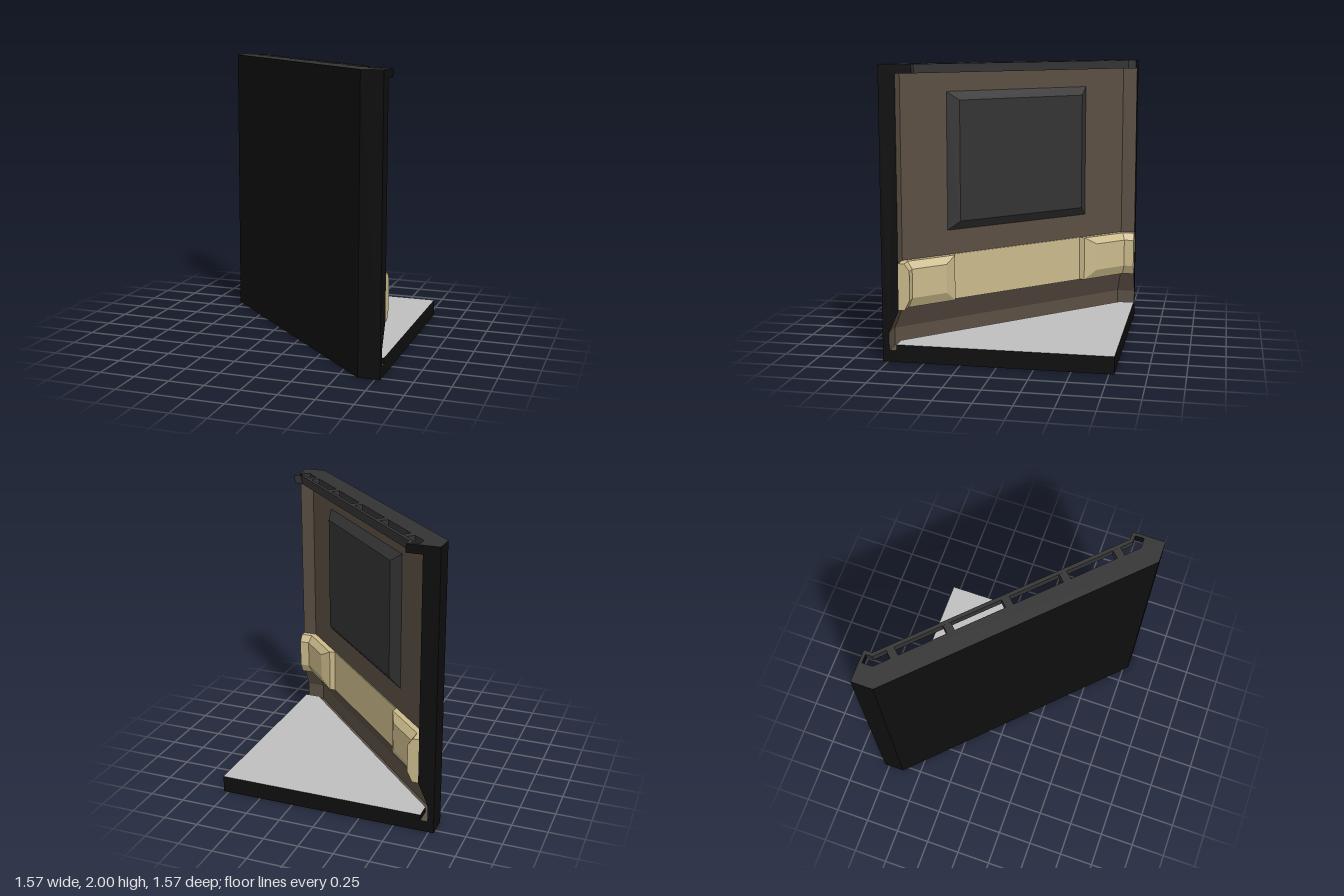
import * as THREE from 'three';

const H = 0.785;   // half of the square tile
const V0 = 0.107;  // offset of the outer diagonal face
const R2 = Math.SQRT2;

const mat = (name, color) => {
  const m = new THREE.MeshStandardMaterial({ color });
  m.name = name;
  return m;
};

// Stations along the wall path: each maps depth d (from the outer face) to [x, z]
const startEnd = (d) => [-H + d, -H];
const startBend = (d) => [-H + d, -0.634 - 0.414 * d];
const diag = (u) => (d) => [(u + d - V0) / R2, (u - d + V0) / R2];
const mirror = (f) => (d) => { const [x, z] = f(d); return [-z, -x]; };
const PATH = [startEnd, startBend, mirror(startBend), mirror(startEnd)];

const ring = (station, profile) => profile.map(([d, y]) => {
  const [x, z] = station(d);
  return new THREE.Vector3(x, y, z);
});
const rect = (a, b, y0, y1) => [[a, y0], [b, y0], [b, y1], [a, y1]];

// Skins a list of matching rings and closes both ends; one material per ring edge
function loft(name, sections, contour, sides, capStart, capEnd = capStart) {
  const n = contour.length;
  const edgeMats = Array.isArray(sides) ? sides : Array(n).fill(sides);
  const pos = [], materials = [];
  const geo = new THREE.BufferGeometry();
  const tri = (...pts) => pts.forEach((p) => pos.push(p.x, p.y, p.z));
  const group = (material, fill) => {
    const from = pos.length / 3;
    fill();
    if (!materials.includes(material)) materials.push(material);
    geo.addGroup(from, pos.length / 3 - from, materials.indexOf(material));
  };
  for (let k = 0; k < n; k++) {
    group(edgeMats[k], () => {
      for (let i = 0; i + 1 < sections.length; i++) {
        const a = sections[i][k], b = sections[i][(k + 1) % n];
        const c = sections[i + 1][(k + 1) % n], d = sections[i + 1][k];
        tri(a, b, c);
        tri(a, c, d);
      }
    });
  }
  const faces = THREE.ShapeUtils.triangulateShape(contour.map(([x, y]) => new THREE.Vector2(x, y)), []);
  const first = sections[0], last = sections[sections.length - 1];
  group(capStart, () => faces.forEach(([a, b, c]) => tri(first[a], first[c], first[b])));
  group(capEnd, () => faces.forEach(([a, b, c]) => tri(last[a], last[b], last[c])));
  geo.setAttribute('position', new THREE.Float32BufferAttribute(pos, 3));
  geo.computeVertexNormals();
  const mesh = new THREE.Mesh(geo, materials);
  mesh.name = name;
  return mesh;
}

const sweep = (name, stations, profile, sides, cap) =>
  loft(name, stations.map((s) => ring(s, profile)), profile, sides, cap);

export function createModel() {
  const model = new THREE.Group();
  model.name = 'diagonalWallTile';
  const black = mat('black shell', 0x0e0e0e);
  const dark = mat('dark grey metal', 0x333333);
  const brown = mat('brown wall', 0x5a4f43);
  const tan = mat('tan padding', 0xcbba8b);
  const grey = mat('grey floor', 0xbebebe);

  // Wall with skirting groove, sloped foot and top ledge
  const wall = [[0, 0], [0.095, 0], [0.095, 0.08], [0.045, 0.08], [0.045, 0.2],
    [0.115, 0.36], [0.115, 1.94], [0.14, 1.94], [0.14, 2], [0, 2]];
  model.add(sweep('wall', PATH, wall,
    [black, black, brown, brown, brown, brown, dark, dark, dark, black], black));

  // Floor slab: triangle with clipped corners
  const plan = [...PATH.map((s) => s(0.095)), [H, -H]];
  const slab = (y) => plan.map(([x, z]) => new THREE.Vector3(x, y, z));
  model.add(loft('floor', [slab(0), slab(0.12)], plan.map(([x, z]) => [x, -z]), black, black, grey));

  // Top rail, tied to the ledge by short bars
  model.add(sweep('topRail', PATH, rect(0.2, 0.225, 1.94, 2), dark, black));
  const barProfile = rect(0.14, 0.2, 1.94, 2);
  for (const u of [-0.8, -0.41, 0, 0.41, 0.8]) {
    model.add(sweep('railBar', [diag(u - 0.027), diag(u + 0.027)], barProfile, dark, dark));
  }
  const inset = (d) => [-H + d, -H + 0.022];
  model.add(sweep('railEndBar', [startEnd, inset], barProfile, dark, black, dark));
  model.add(sweep('railEndBar', [mirror(inset), mirror(startEnd)], barProfile, dark, black));

  // Tan band along the wall
  model.add(sweep('band', PATH, rect(0.115, 0.122, 0.36, 0.68), tan, tan));

  // Raised, bevelled pads at both ends of the band
  const base = 0.115, lip = 0.157, top = 0.193;
  const pad = [[base, 0.36], [lip, 0.36], [top, 0.43], [top, 0.63], [lip, 0.68], [base, 0.68]];
  const flat = (d) => pad.map(([x, y]) => [Math.min(x, d), y < 0.5 ? 0.36 : 0.68]);
  const padRings = (flip) => [
    [startEnd, pad], [startBend, pad], [diag(-0.655), pad],
    [diag(-0.566), flat(lip)], [diag(-0.545), flat(0.12)],
  ].map(([s, p]) => ring(flip ? mirror(s) : s, p));
  model.add(loft('endPad', padRings(false), pad, tan, tan));
  model.add(loft('endPad', padRings(true).reverse(), pad, tan, tan));

  // Raised screen panel with sloped edges
  const panel = (hw, y0, y1, d) => rect(-hw, hw, y0, y1).map(([r, y]) => {
    const [x, z] = diag(-r)(d);
    return new THREE.Vector3(x, y, z);
  });
  model.add(loft('screenPanel', [panel(0.6, 0.85, 1.81, 0.114), panel(0.525, 0.915, 1.75, 0.167)],
    rect(-0.6, 0.6, 0.85, 1.81), dark, dark));

  return model;
}
